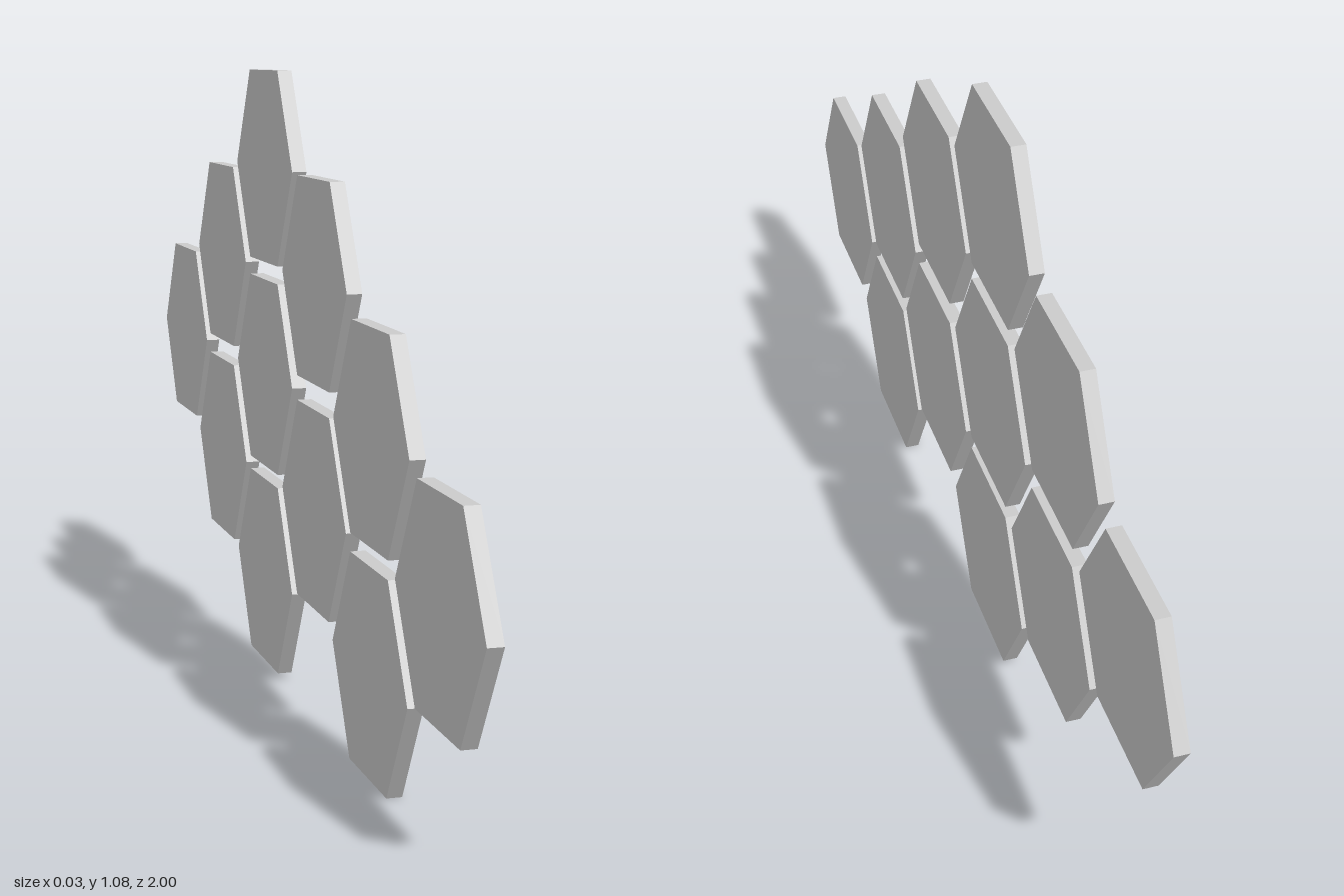
import * as THREE from 'three';

const RADIUS = 0.194;
const THICKNESS = 0.025;

// Columns of tiles from front (+z) to back: z position and tile centre heights
const COLUMNS = [
  { z: 0.806, heights: [0.348] },
  { z: 0.481, heights: [0.169, 0.535] },
  { z: 0.166, heights: [0.36, 0.738] },
  { z: -0.158, heights: [0.182, 0.542, 0.909] },
  { z: -0.483, heights: [0.355, 0.728] },
  { z: -0.806, heights: [0.542] },
];

export function createModel() {
  const model = new THREE.Group();
  model.name = 'hexagonWallPanels';
  const material = new THREE.MeshStandardMaterial({ color: 0xcccccc, flatShading: true });

  // Thin hexagonal slab lying in the y-z plane, points toward front and back
  const tile = new THREE.CylinderGeometry(RADIUS, RADIUS, THICKNESS, 6);
  tile.rotateZ(-Math.PI / 2);

  COLUMNS.forEach(({ z, heights }, column) => {
    heights.forEach((y, row) => {
      const panel = new THREE.Mesh(tile, material);
      panel.name = `hexagonPanel_${column + 1}_${row + 1}`;
      panel.position.set(0, y, z);
      model.add(panel);
    });
  });

  return model;
}
